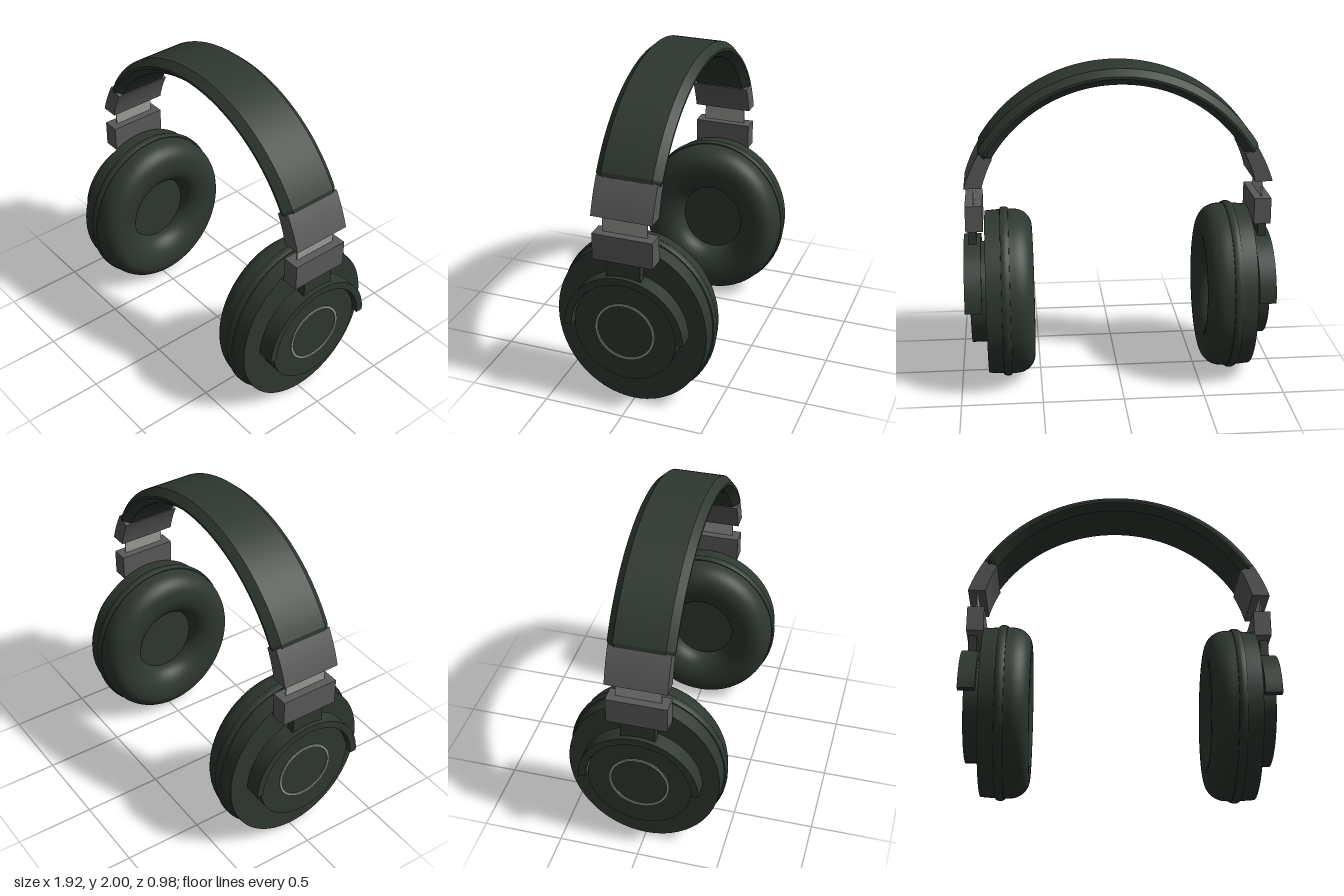
import * as THREE from 'three';
import { toCreasedNormals } from 'three/addons/utils/BufferGeometryUtils.js';

const dark = new THREE.MeshStandardMaterial({ color: 0x2f3830 });
dark.name = 'dark green shell';
const grey = new THREE.MeshStandardMaterial({ color: 0x5a5a5a });
grey.name = 'grey bracket';
const light = new THREE.MeshStandardMaterial({ color: 0x9c9c98 });
light.name = 'light metal';

const CUP_Y = 0.545;

function add(parent, name, geometry, material, x = 0, y = 0, z = 0) {
  const mesh = new THREE.Mesh(geometry, material);
  mesh.name = name;
  mesh.position.set(x, y, z);
  parent.add(mesh);
  return mesh;
}

// Turned part around the x axis; profile points are [radius, x]
function turned(profile, zScale = 1) {
  const g = new THREE.LatheGeometry(profile.map(([r, x]) => new THREE.Vector2(r, x)), 64);
  g.rotateZ(-Math.PI / 2);
  g.scale(1, 1, zScale);
  return toCreasedNormals(g, 0.55);
}

// Chamfered band swept along an arc in the xy plane, with slightly tapered ends
function headbandGeometry() {
  const section = [
    [1.0, -0.155], [1.0, 0.155], [0.96, 0.2], [0.945, 0.2],
    [0.903, 0.155], [0.903, -0.155], [0.945, -0.2], [0.96, -0.2],
  ];
  const n = section.length, steps = 48, half = THREE.MathUtils.degToRad(58.6);
  const rings = [[-half - 0.025, 0.8]];
  for (let i = 0; i <= steps; i++) rings.push([-half + (2 * half * i) / steps, 1]);
  rings.push([half + 0.025, 0.8]);
  const pos = [], idx = [];
  for (const [a, s] of rings) {
    for (const [r, z] of section) {
      const rr = 0.952 + (r - 0.952) * s;
      pos.push(Math.sin(a) * rr, 1 + Math.cos(a) * rr, z * (s < 1 ? 0.95 : 1));
    }
  }
  for (let i = 0; i < rings.length - 1; i++) {
    for (let j = 0; j < n; j++) {
      const a = i * n + j, b = i * n + ((j + 1) % n);
      idx.push(a, b, a + n, b, b + n, a + n);
    }
  }
  const last = (rings.length - 1) * n;
  for (let j = 1; j < n - 1; j++) {
    idx.push(0, j + 1, j);
    idx.push(last, last + j, last + j + 1);
  }
  const g = new THREE.BufferGeometry();
  g.setAttribute('position', new THREE.Float32BufferAttribute(pos, 3));
  g.setIndex(idx);
  return toCreasedNormals(g, 0.3);
}

// Curved bracket at the end of the headband, cut level at the bottom
function bracketGeometry() {
  const s = new THREE.Shape();
  s.moveTo(0.77, 1.465);
  s.quadraticCurveTo(0.815, 1.38, 0.838, 1.287);
  s.lineTo(0.947, 1.287);
  s.quadraticCurveTo(0.912, 1.4, 0.852, 1.5);
  s.closePath();
  const g = new THREE.ExtrudeGeometry(s, { depth: 0.374, bevelEnabled: false, curveSegments: 8 });
  g.translate(0, 0, -0.187);
  return toCreasedNormals(g, 0.4);
}

// Half-ring fork that holds the cup
function yokeGeometry() {
  const s = new THREE.Shape();
  s.absarc(0, 0, 0.372, 0, Math.PI, false);
  s.absarc(0, 0, 0.328, Math.PI, 0, true);
  s.closePath();
  const g = new THREE.ExtrudeGeometry(s, { depth: 0.105, bevelEnabled: false, curveSegments: 40 });
  g.rotateY(Math.PI / 2);
  return toCreasedNormals(g, 0.4);
}

function earpiece(name) {
  const side = new THREE.Group();
  side.name = name;

  // Oval cushion with a recessed centre
  const cushion = [[0, 0.665], [0.23, 0.665]];
  for (let i = 0; i <= 10; i++) {
    const a = (i / 10) * Math.PI / 2;
    cushion.push([0.395 - 0.165 * Math.cos(a), 0.655 - 0.12 * Math.sin(a)]);
  }
  for (let i = 1; i <= 10; i++) {
    const a = (i / 10) * Math.PI / 2;
    cushion.push([0.415 + 0.115 * Math.sin(a), 0.655 - 0.12 * Math.cos(a)]);
  }
  cushion.push([0.532, 0.69]);
  add(side, 'cushion', turned(cushion, 0.9), dark, 0, CUP_Y);

  // Seam ridge and outer shell
  add(side, 'seamRidge', turned([
    [0.52, 0.682], [0.538, 0.685], [0.545, 0.7], [0.545, 0.72], [0.538, 0.736], [0.52, 0.738],
  ], 0.9), dark, 0, CUP_Y);
  add(side, 'cupShell', turned([
    [0.53, 0.72], [0.527, 0.77], [0.522, 0.83], [0, 0.83],
  ], 0.9), dark, 0, CUP_Y);

  // Round outer cap with its thin metal ring
  add(side, 'outerCap', turned([[0.32, 0.82], [0.32, 0.928], [0, 0.928]]), dark, 0, CUP_Y + 0.005);
  add(side, 'capRing', turned([
    [0.172, 0.92], [0.186, 0.92], [0.186, 0.935], [0.172, 0.935], [0.172, 0.92],
  ]), light, 0, CUP_Y + 0.005);

  // Fork, its pivots and the stem above it
  add(side, 'yoke', yokeGeometry(), dark, 0.857, CUP_Y + 0.003);
  for (const z of [-0.324, 0.324]) {
    add(side, 'pivotPin', new THREE.BoxGeometry(0.06, 0.05, 0.016), light, 0.89, 0.58, z);
  }
  add(side, 'stem', new THREE.BoxGeometry(0.052, 0.15, 0.21), dark, 0.908, 0.955);

  // Size adjuster
  add(side, 'lowerSliderBlock', new THREE.BoxGeometry(0.106, 0.164, 0.37), grey, 0.892, 1.093);
  add(side, 'sliderPlate', new THREE.BoxGeometry(0.008, 0.2, 0.276), light, 0.891, 1.23);
  add(side, 'upperBracket', bracketGeometry(), grey);
  return side;
}

export function createModel() {
  const model = new THREE.Group();
  model.name = 'headphones';
  add(model, 'headband', headbandGeometry(), dark);
  model.add(earpiece('leftEarpiece'));
  const right = earpiece('rightEarpiece');
  right.rotation.y = Math.PI;
  model.add(right);
  return model;
}
